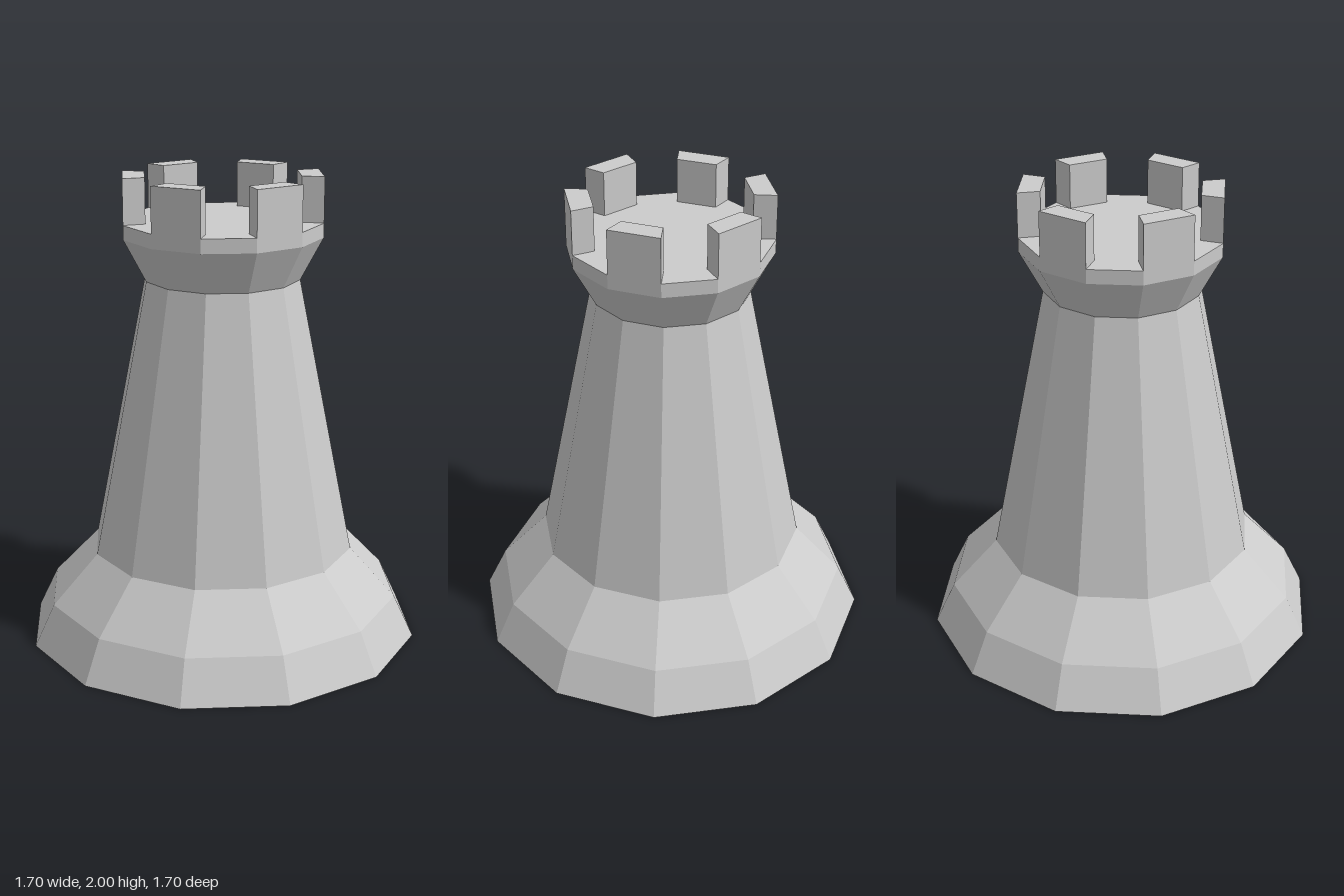
import * as THREE from 'three';

const SIDES = 12;
const STEP = (Math.PI * 2) / SIDES;

export function createModel() {
  const group = new THREE.Group();
  const solid = new THREE.MeshStandardMaterial({ color: 0xcccccc, flatShading: true });
  const shell = solid.clone();
  shell.side = THREE.DoubleSide;

  // Hollow tower: flared base, tapering shaft, widening crown and flat deck
  const profile = [
    [0.85, 0], [0.764, 0.18], [0.567, 0.39], [0.33, 1.57],
    [0.425, 1.75], [0.425, 1.81], [0, 1.81],
  ].map(([r, y]) => new THREE.Vector2(r, y));
  const tower = new THREE.Mesh(new THREE.LatheGeometry(profile, SIDES), shell);
  tower.name = 'tower';
  group.add(tower);

  // Battlements: one block on every second facet of the crown
  const corner = (r, a) => new THREE.Vector2(r * Math.sin(a), -r * Math.cos(a));
  const outline = new THREE.Shape([
    corner(0.33, 0), corner(0.425, 0), corner(0.425, STEP), corner(0.33, STEP),
  ]);
  const block = new THREE.ExtrudeGeometry(outline, { depth: 0.19, bevelEnabled: false });
  block.rotateX(-Math.PI / 2);
  const battlements = new THREE.Group();
  battlements.name = 'battlements';
  for (let i = 0; i < SIDES / 2; i++) {
    const merlon = new THREE.Mesh(block, solid);
    merlon.name = 'merlon' + (i + 1);
    merlon.position.y = 1.81;
    merlon.rotation.y = i * 2 * STEP;
    battlements.add(merlon);
  }
  group.add(battlements);

  return group;
}
